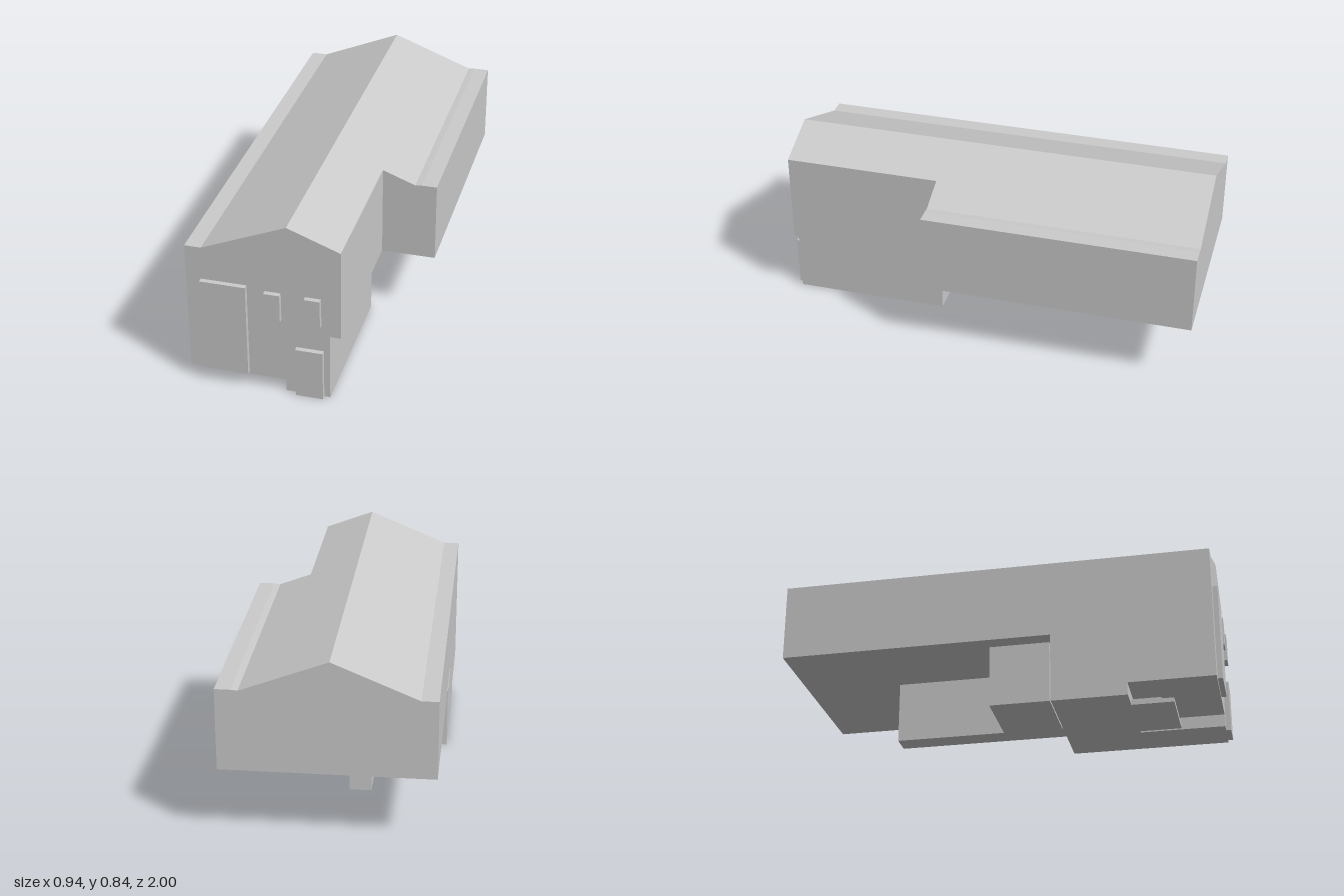
import * as THREE from 'three';

const material = new THREE.MeshStandardMaterial({ color: 0xcccccc, flatShading: true });

export function createModel() {
  const house = new THREE.Group();
  house.name = 'house';

  const add = (name, geometry) => {
    const mesh = new THREE.Mesh(geometry, material);
    mesh.name = name;
    house.add(mesh);
  };
  // Front outline (x, y) pulled from z0 to z1
  const slab = (name, points, z0, z1) => {
    const shape = new THREE.Shape(points.map(([x, y]) => new THREE.Vector2(x, y)));
    const geometry = new THREE.ExtrudeGeometry(shape, { depth: z1 - z0, bevelEnabled: false });
    add(name, geometry.translate(0, 0, z0));
  };
  // Box given by its limits
  const block = (name, x0, x1, y0, y1, z0, z1) => {
    const geometry = new THREE.BoxGeometry(x1 - x0, y1 - y0, z1 - z0);
    add(name, geometry.translate((x0 + x1) / 2, (y0 + y1) / 2, (z0 + z1) / 2));
  };

  const left = -0.47, floor = 0.322, front = 0.977, step = 0.25;
  const roofLeft = [[-0.015, 0.84], [-0.395, 0.682], [left, 0.682]];

  // Wide rear upper storey with its gabled roof
  slab('rearUpperStorey', [
    [left, floor], [0.47, floor], [0.47, 0.697], [0.4, 0.697], [0.37, 0.694], ...roofLeft,
  ], -1, step);

  // Narrower front wing, full height, with a small overhang on one side
  const frontTop = [[0.17, floor], [0.22, floor], [0.22, 0.751], ...roofLeft];
  slab('frontWingInner', [[left, 0], [0.17, 0], ...frontTop], step, 0.59);
  slab('frontWingOuter', [
    [left, 0.058], [-0.03, 0.058], [-0.03, 0], [0.17, 0], ...frontTop,
  ], 0.59, front);

  // Low blocks under the rear storey
  block('sideBlock', left, -0.15, 0, 0.285, -0.025, step - 0.004);
  block('rearBlock', -0.15, -0.05, 0, 0.285, -0.527, step);

  // Shallow steps under the raised front corner
  block('lowerStep', -0.355, -0.045, 0, 0.02, 0.59, 0.78);
  block('upperStep', -0.325, -0.045, 0.02, 0.04, 0.59, 0.72);

  // Panels standing out from the front wall
  block('tallWindow', -0.403, -0.197, 0.072, 0.524, front, 1);
  block('leftWindow', 0.062, 0.133, 0.373, 0.509, front, 1);
  block('rightWindow', -0.116, -0.045, 0.373, 0.509, front, 1);
  block('frontDoor', 0.02, 0.143, 0, 0.242, front, 1);

  return house;
}
